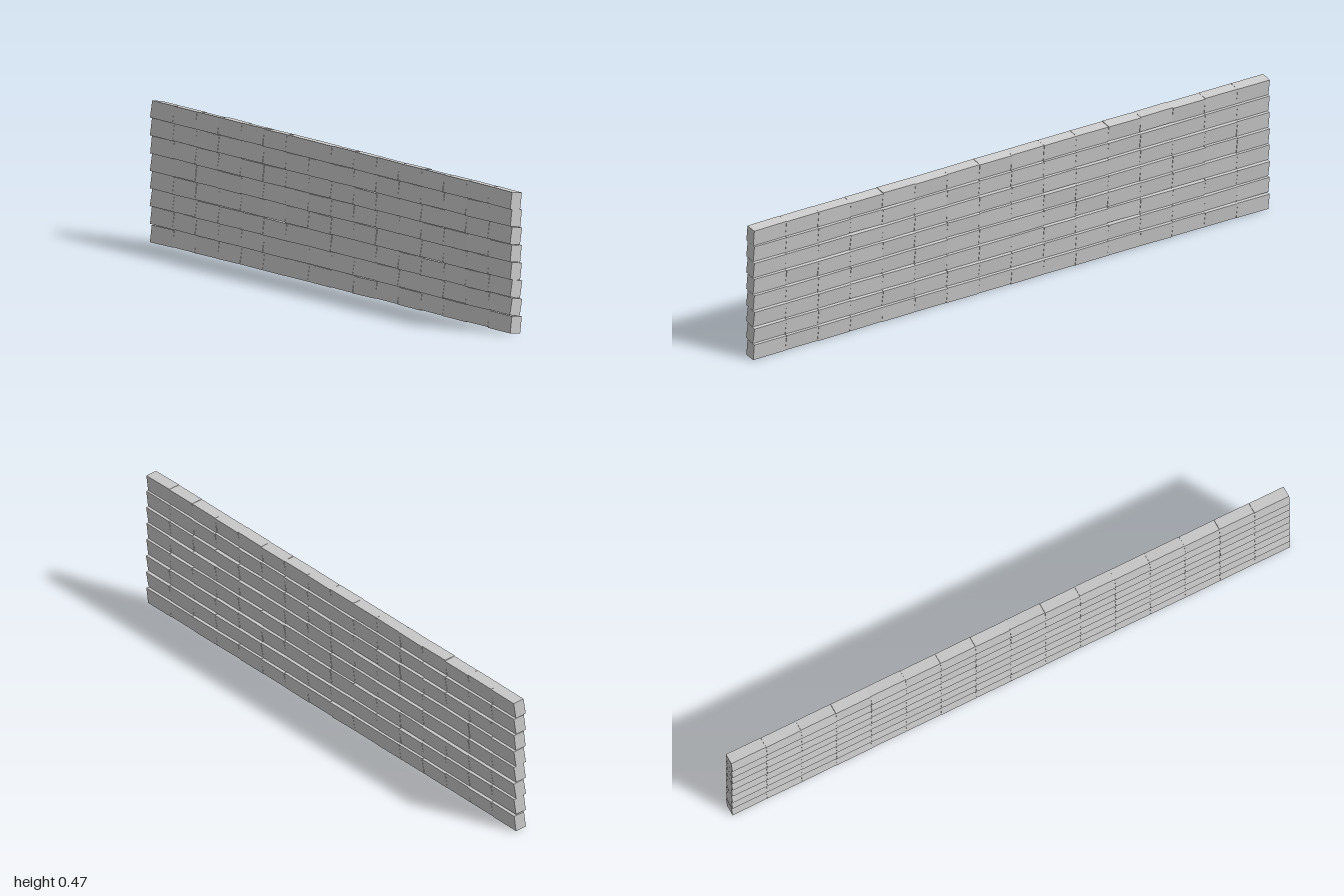
import * as THREE from 'three';

const COLUMNS = 16, ROWS = 8;
const PITCH_X = 0.125, PITCH_Y = 0.0575, FIRST_Y = 0.0335;
const TILT = -0.15; // every block leans back a little

// small seeded generator, returns -1..1
function makeJitter(seed) {
  let s = seed;
  return (amount) => {
    s = (s * 16807) % 2147483647;
    return ((s / 2147483647) * 2 - 1) * amount;
  };
}

export function createModel() {
  const wall = new THREE.Group();
  wall.name = 'brickWall';
  const material = new THREE.MeshStandardMaterial({ color: 0xcccccc, flatShading: true });
  const brickGeometry = new THREE.BoxGeometry(0.1245, 0.0555, 0.039);
  const jitter = makeJitter(4711);

  // stacked courses of separate, slightly uneven blocks
  for (let row = 0; row < ROWS; row++) {
    const course = new THREE.Group();
    course.name = `course${row + 1}`;
    course.position.y = FIRST_Y + row * PITCH_Y;
    for (let col = 0; col < COLUMNS; col++) {
      const brick = new THREE.Mesh(brickGeometry, material);
      brick.name = 'brick';
      brick.position.set((col - (COLUMNS - 1) / 2) * PITCH_X, jitter(0.001), jitter(0.0006));
      brick.rotation.set(TILT + jitter(0.035), jitter(0.004), jitter(0.012));
      course.add(brick);
    }
    wall.add(course);
  }
  return wall;
}
